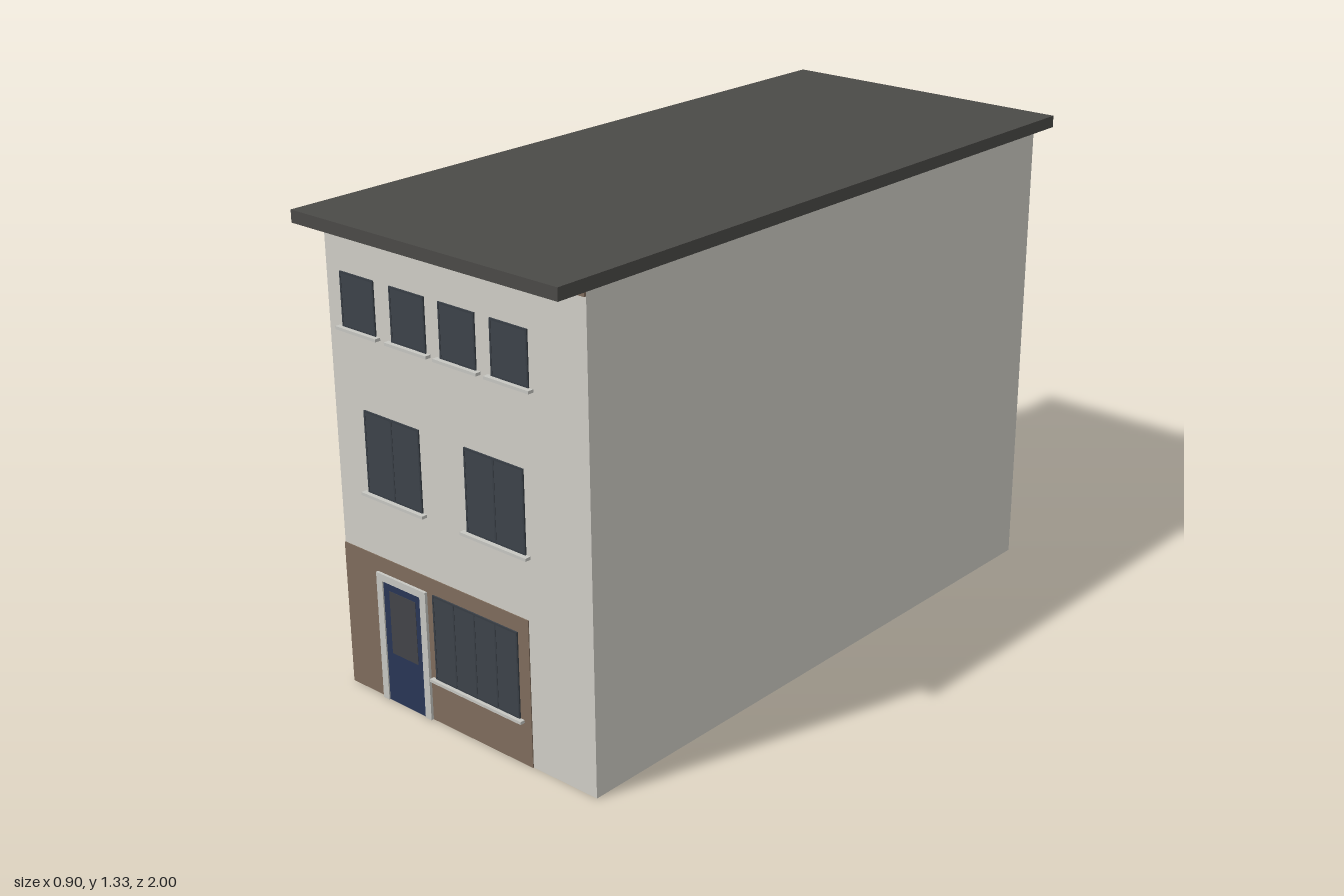
import * as THREE from 'three';

const W = 0.445, D = 0.907, H = 1.295;
const mat = (color, side = THREE.FrontSide) => {
  const m = new THREE.MeshStandardMaterial({ side });
  m.color.set(color);
  return m;
};
const mats = {
  wall: mat(0xcfcdc6, THREE.DoubleSide),
  roof: mat(0x4b4a47),
  brown: mat(0x7f6c5c),
  trim: mat(0xc6c6c1),
  door: mat(0x283556),
  glass: mat(0x3c4249),
  doorGlass: mat(0x424448),
  bar: mat(0x383e45),
};

// Box from its limits; z is measured outward from the wall face
function slab(name, material, x0, x1, y0, y1, z0, z1) {
  const mesh = new THREE.Mesh(new THREE.BoxGeometry(x1 - x0, y1 - y0, z1 - z0), material);
  mesh.position.set((x0 + x1) / 2, (y0 + y1) / 2, (z0 + z1) / 2);
  mesh.name = name;
  return mesh;
}

// Dark window with thin frame bars and a projecting sill
function makeWindow(x0, x1, y0, y1, panes, base = 0.0004) {
  const g = new THREE.Group();
  g.name = 'window';
  const t = 0.005, z = base + 0.003, zb = z + 0.001;
  g.add(slab('glass', mats.glass, x0, x1, y0, y1, base, z));
  g.add(slab('frameTop', mats.bar, x0, x1, y1 - t, y1, z, zb));
  g.add(slab('frameBottom', mats.bar, x0, x1, y0, y0 + t, z, zb));
  for (let i = 0; i <= panes; i++) {
    const x = x0 + t / 2 + ((x1 - x0 - t) * i) / panes;
    g.add(slab('frameBar', mats.bar, x - t / 2, x + t / 2, y0 + t, y1 - t, z, zb));
  }
  g.add(slab('sill', mats.trim, x0 - 0.013, x1 + 0.013, y0 - 0.008, y0, base, 0.017));
  return g;
}

// Door leaf with a glazed panel inside a three-sided surround
function makeDoor(x0, top, base = 0.0004) {
  const g = new THREE.Group();
  g.name = 'door';
  const x1 = x0 + 0.185, f = 0.022, z = 0.011;
  g.add(slab('surroundLeft', mats.trim, x1 - f, x1, 0, top, base, z));
  g.add(slab('surroundRight', mats.trim, x0, x0 + f, 0, top, base, z));
  g.add(slab('surroundTop', mats.trim, x0 + f, x1 - f, top - 0.02, top, base, z));
  g.add(slab('doorLeaf', mats.door, x0 + f, x1 - f, 0, top - 0.02, base, 0.007));
  g.add(slab('doorGlass', mats.doorGlass, x0 + 0.044, x1 - 0.043, 0.145, top - 0.042, 0.007, 0.008));
  return g;
}

export function createModel() {
  const model = new THREE.Group();
  model.name = 'townHouse';

  // Wall shell, open underneath
  const walls = new THREE.Group();
  walls.name = 'walls';
  for (let i = 0; i < 4; i++) {
    const side = i % 2 === 1;
    const wall = new THREE.Mesh(new THREE.PlaneGeometry(side ? 2 * D : 2 * W, H), mats.wall);
    const a = (i * Math.PI) / 2;
    wall.rotation.y = a;
    wall.position.set(Math.sin(a) * W, H / 2, Math.cos(a) * D);
    wall.name = ['frontWall', 'leftWall', 'backWall', 'rightWall'][i];
    walls.add(wall);
  }
  model.add(walls);

  // Flat overhanging roof
  model.add(slab('roof', mats.roof, -0.45, 0.45, H, 1.328, -1, 1));

  // Front elevation
  const front = new THREE.Group();
  front.name = 'frontElevation';
  front.position.z = D;
  front.add(slab('fascia', mats.brown, -W, W, 1.282, H, 0.0004, 0.006));
  front.add(slab('shopPanel', mats.brown, -W, 0.23, 0, 0.41, 0.0004, 0.003));
  front.add(makeDoor(-0.317, 0.367, 0.003));
  front.add(makeWindow(-0.11, 0.193, 0.127, 0.367, 4, 0.003));
  for (const x of [-0.334, 0.028]) front.add(makeWindow(x, x + 0.202, 0.585, 0.809, 2));
  for (const x of [-0.393, -0.212, -0.039, 0.135]) front.add(makeWindow(x, x + 0.123, 1.019, 1.163, 1));
  model.add(front);

  // Back elevation, turned round to face -z
  const back = new THREE.Group();
  back.name = 'backElevation';
  back.position.z = -D;
  back.rotation.y = Math.PI;
  back.add(makeDoor(-0.387, 0.355));
  back.add(makeWindow(-0.11, 0.233, 0.107, 0.342, 1));
  for (const [y0, y1] of [[0.58, 0.765], [1.02, 1.21]]) {
    for (const x of [-0.33, -0.012]) back.add(makeWindow(x, x + (x < -0.1 ? 0.188 : 0.21), y0, y1, 1));
  }
  model.add(back);

  return model;
}
